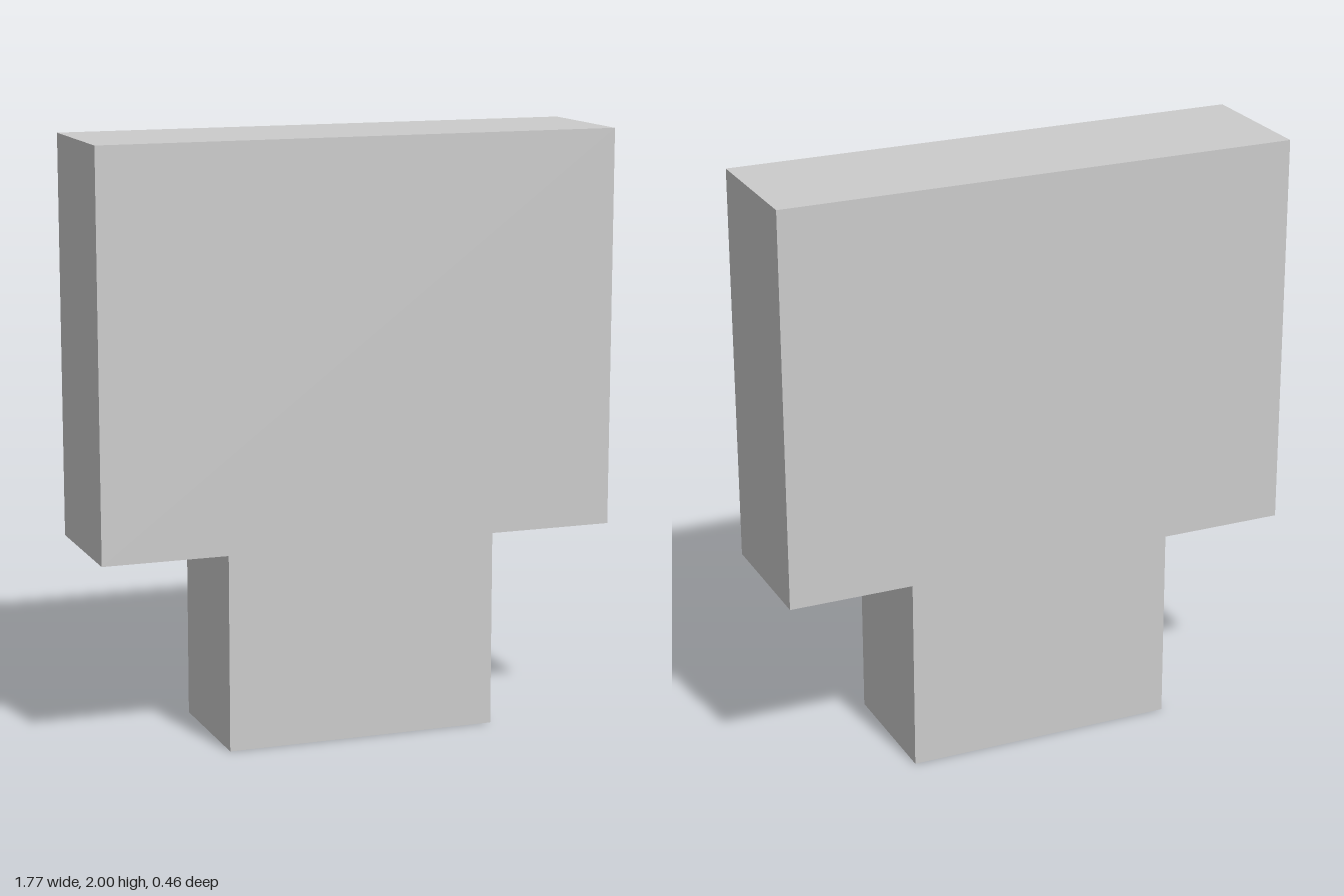
import * as THREE from 'three';

const HEIGHT = 2;
const DEPTH = 0.463;
const HEAD_HALF = 0.887;
const STEM_HALF = 0.463;
const SHOULDER_Y = 0.66;

export function createModel() {
  const group = new THREE.Group();
  group.name = 'steppedBlock';

  // T-shaped outline: narrow stem below, wide head above
  const outline = new THREE.Shape([
    [-STEM_HALF, 0], [STEM_HALF, 0],
    [STEM_HALF, SHOULDER_Y], [HEAD_HALF, SHOULDER_Y],
    [HEAD_HALF, HEIGHT], [-HEAD_HALF, HEIGHT],
    [-HEAD_HALF, SHOULDER_Y], [-STEM_HALF, SHOULDER_Y],
  ].map(([x, y]) => new THREE.Vector2(x, y)));

  // One solid slab, centred front to back
  const geometry = new THREE.ExtrudeGeometry(outline, { depth: DEPTH, bevelEnabled: false });
  geometry.translate(0, 0, -DEPTH / 2);

  const block = new THREE.Mesh(
    geometry,
    new THREE.MeshStandardMaterial({ color: 0xcccccc, flatShading: true }),
  );
  block.name = 'headAndStem';
  group.add(block);
  return group;
}
